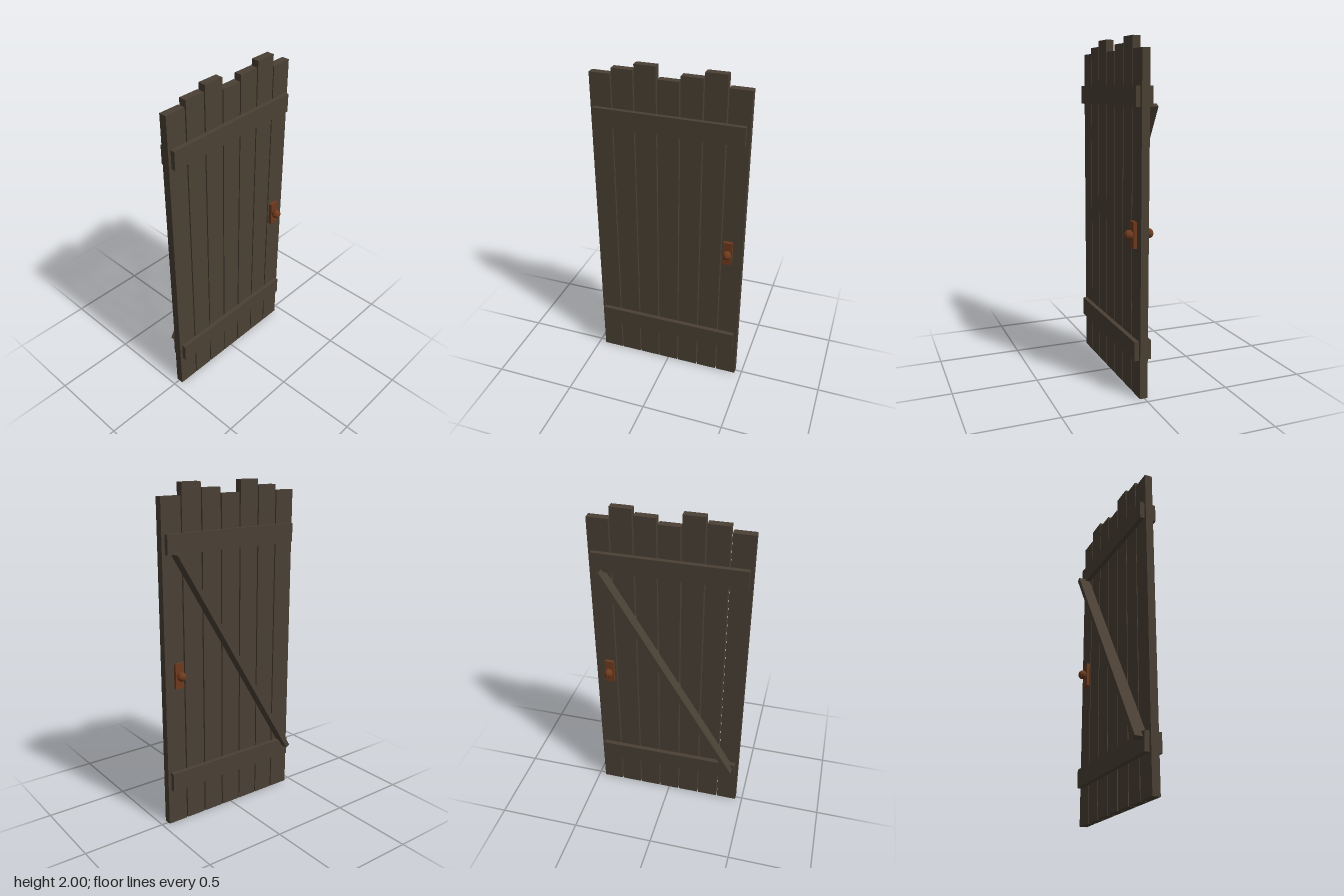
import * as THREE from 'three';

export function createModel() {
  const door = new THREE.Group();
  door.name = 'plankDoor';
  const wood = new THREE.MeshStandardMaterial({ color: 0x4a4034 });
  wood.name = 'darkWood';
  const rust = new THREE.MeshStandardMaterial({ color: 0x6e3a1e });
  rust.name = 'rustyMetal';

  // Box given by its limits on each axis
  function box(name, material, [x0, x1], [y0, y1], [z0, z1]) {
    const mesh = new THREE.Mesh(new THREE.BoxGeometry(x1 - x0, y1 - y0, z1 - z0), material);
    mesh.position.set((x0 + x1) / 2, (y0 + y1) / 2, (z0 + z1) / 2);
    mesh.name = name;
    door.add(mesh);
    return mesh;
  }

  // Seven upright planks with uneven tops
  const tops = [1.93, 1.965, 2, 1.93, 1.965, 2, 1.93];
  tops.forEach((top, i) => {
    const x = (i - 3) * 0.1318;
    box('plank' + (i + 1), wood, [x - 0.062, x + 0.062], [0, top], [-0.019, 0.027]);
  });

  // Cross battens, front and back
  for (const [level, y] of [['lower', [0.222, 0.334]], ['upper', [1.625, 1.736]]]) {
    box(level + 'FrontBatten', wood, [-0.44, 0.438], y, [0.027, 0.054]);
    box(level + 'BackBatten', wood, [-0.44, 0.438], y, [-0.047, -0.019]);
  }

  // Diagonal brace standing on edge across the back
  const brace = new THREE.Mesh(new THREE.BoxGeometry(0.029, 1.56, 0.09), wood);
  brace.name = 'diagonalBrace';
  brace.position.set(-0.01, 0.966, -0.048);
  brace.rotation.z = -Math.atan2(0.514, 0.857);
  door.add(brace);

  // Handle plates and knobs on both faces
  const knobGeometry = new THREE.SphereGeometry(0.028, 8, 6).toNonIndexed();
  knobGeometry.computeVertexNormals();
  for (const [side, plateZ, knobZ] of [
    ['front', [0.027, 0.047], 0.064],
    ['back', [-0.037, -0.019], -0.056],
  ]) {
    box(side + 'HandlePlate', rust, [0.345, 0.4], [0.857, 1.006], plateZ);
    const knob = new THREE.Mesh(knobGeometry, rust);
    knob.name = side + 'Knob';
    knob.position.set(0.373, 0.933, knobZ);
    door.add(knob);
  }
  return door;
}
